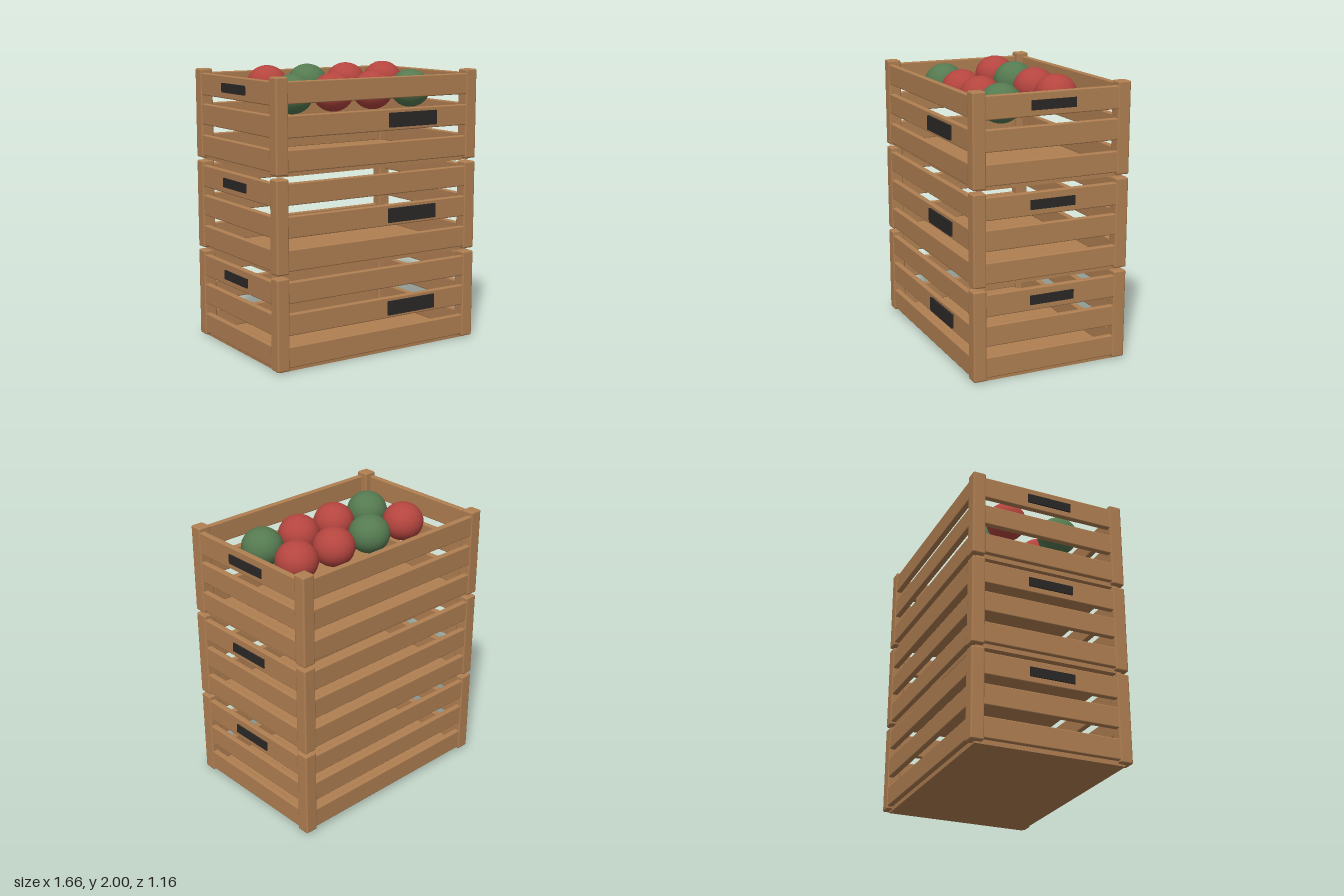
import * as THREE from 'three';
import { RoundedBoxGeometry } from 'three/addons/geometries/RoundedBoxGeometry.js';

const mat = (color) => new THREE.MeshStandardMaterial({ color });
const wood = mat(0xb07f52);
const dark = mat(0x2b2827);
const red = mat(0xb5453f);
const green = mat(0x557a50);

const HX = 0.825, HZ = 0.575; // crate half sizes
const POST = 0.094;
const PITCH = 0.66; // stacking distance

function box(parent, name, [w, h, d], [x, y, z], material = wood, bevel = 0.008) {
  const geometry = bevel
    ? new RoundedBoxGeometry(w, h, d, 2, bevel)
    : new THREE.BoxGeometry(w, h, d);
  const mesh = new THREE.Mesh(geometry, material);
  mesh.name = name;
  mesh.position.set(x, y, z);
  parent.add(mesh);
  return mesh;
}

function createCrate() {
  const crate = new THREE.Group();
  crate.name = 'crate';

  box(crate, 'floor', [1.58, 0.034, 1.07], [0, 0.017, 0], wood, 0);

  // Corner posts
  for (const sx of [-1, 1]) {
    for (const sz of [-1, 1]) {
      box(crate, 'cornerPost', [POST, 0.637, POST],
        [sx * (HX - POST / 2), 0.3315, sz * (HZ - POST / 2)], wood, 0.012);
    }
  }

  // Three slats on every wall, set just inside the post faces
  const slats = [
    { y: 0.105, front: 0.147, side: 0.147 },
    { y: 0.328, front: 0.147, side: 0.147 },
    { y: 0.547, front: 0.147, side: 0.157 },
  ];
  const inset = 0.005, thick = 0.042;
  for (const { y, front, side } of slats) {
    for (const s of [-1, 1]) {
      box(crate, 'longSlat', [2 * HX - 0.06, front, thick],
        [0, y, s * (HZ - inset - thick / 2)]);
      box(crate, 'sideSlat', [thick, side, 2 * HZ - 0.06],
        [s * (HX - inset - thick / 2), y - (side - front) / 2, 0]);
    }
  }

  // Front label plate and the hand grips on both sides
  box(crate, 'labelPlate', [0.4, 0.1, 0.02], [0.262, 0.327, HZ], dark, 0);
  for (const s of [-1, 1]) {
    box(crate, 'handGrip', [0.02, 0.065, 0.327], [s * (HX - 0.005), 0.538, 0], dark, 0);
  }
  return crate;
}

export function createModel() {
  const model = new THREE.Group();
  model.name = 'crateStack';

  for (let i = 0; i < 3; i++) {
    const crate = createCrate();
    crate.position.set(0, i * PITCH, -0.005);
    model.add(crate);
  }

  // Two rows of fruit in the top crate
  const fruitGeometry = new THREE.SphereGeometry(0.146, 24, 16);
  const rows = [
    { x: -0.465, y: 1.864, z: -0.173, colors: [red, green, red, red] },
    { x: -0.497, y: 1.825, z: 0.222, colors: [green, red, red, green] },
  ];
  for (const { x, y, z, colors } of rows) {
    colors.forEach((color, i) => {
      const fruit = new THREE.Mesh(fruitGeometry, color);
      fruit.name = 'fruit';
      fruit.position.set(x + i * 0.33, y, z);
      fruit.scale.y = 0.93;
      model.add(fruit);
    });
  }
  return model;
}
